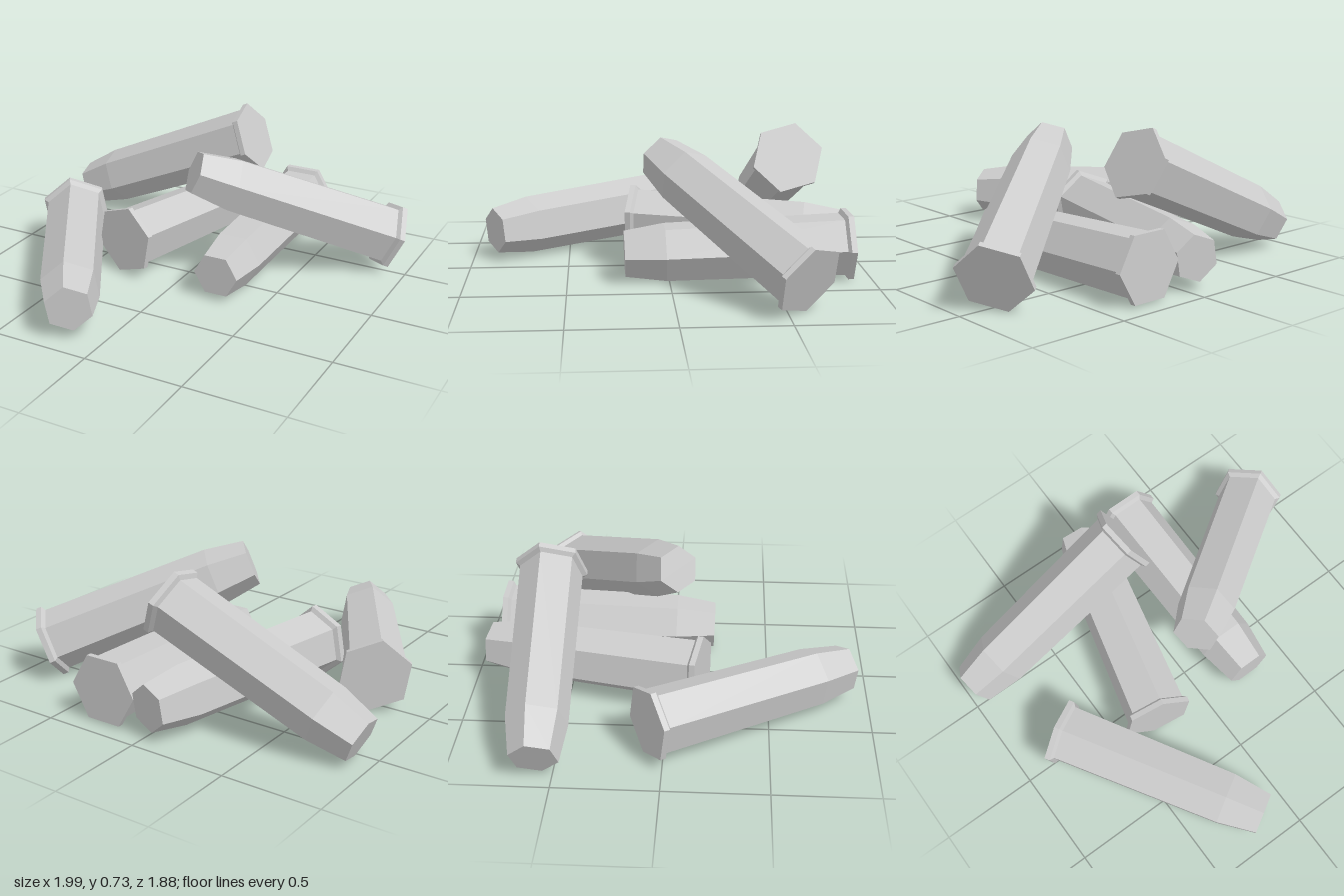
import * as THREE from 'three';

// Radius profile along a shell, from the flanged base to the blunt tip: [radius, distance]
const PROFILE = [
  [0, 0], [0.183, 0], [0.183, 0.028], [0.16, 0.042],
  [0.148, 0.92], [0.117, 1.12], [0, 1.12],
];

// Each shell: centre of the base, centre of the tip, roll about its axis in degrees
const SHELLS = [
  { name: 'frontLeaningShell', base: [-0.74, 0.187, -0.075], tip: [-0.16, 0.157, 0.88], roll: 20 },
  { name: 'middleShell', base: [-0.29, 0.19, 0.17], tip: [-0.03, 0.16, -0.925], roll: 20 },
  { name: 'straightShell', base: [0.252, 0.168, -0.9], tip: [0.262, 0.135, 0.23], roll: 0 },
  { name: 'raisedBaseShell', base: [0.077, 0.572, -0.61], tip: [-0.95, 0.12, -0.575], roll: 15 },
  { name: 'raisedTipShell', base: [0.88, 0.165, -0.59], tip: [0.045, 0.58, 0.035], roll: 45 },
];

const material = new THREE.MeshStandardMaterial({ color: 0xcccccc, flatShading: true });

// Hexagonal shell turned from the profile and laid along its axis
function makeShell({ name, base, tip, roll }) {
  const start = new THREE.Vector3(...base);
  const axis = new THREE.Vector3(...tip).sub(start).normalize();
  const side = new THREE.Vector3(-axis.z, 0, axis.x).normalize();
  const down = new THREE.Vector3().crossVectors(axis, side);

  const points = PROFILE.map(([r, d]) => new THREE.Vector2(r, d));
  const geometry = new THREE.LatheGeometry(points, 6, -THREE.MathUtils.degToRad(roll));
  const shell = new THREE.Mesh(geometry, material);
  shell.name = name;
  shell.quaternion.setFromRotationMatrix(new THREE.Matrix4().makeBasis(down, axis, side));
  shell.position.copy(start);
  return shell;
}

export function createModel() {
  const group = new THREE.Group();
  group.name = 'shellPile';
  for (const spec of SHELLS) group.add(makeShell(spec));
  return group;
}
